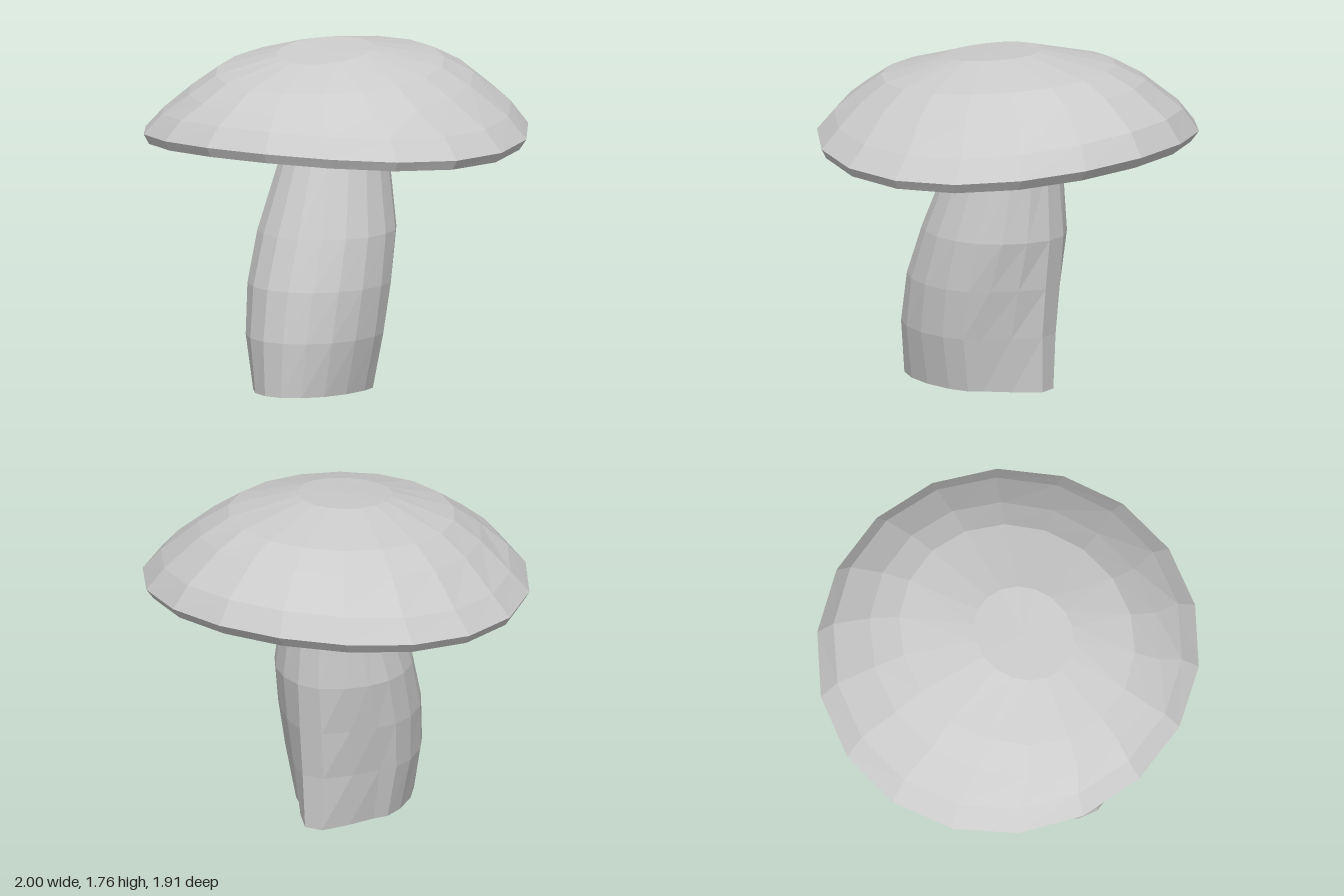
import * as THREE from 'three';

const SIDES = 18;

// One skewed oval ring: half width, z and y at front and back, y at the sides.
// pinch draws the rear flanks forward, leaving a narrow ridge behind.
function ring([halfX, zFront, zBack, yFront, ySide, yBack, pinch = 0]) {
  const points = [];
  const zMid = (zFront + zBack) / 2;
  const halfZ = (zFront - zBack) / 2 / Math.sin((80 * Math.PI) / 180);
  for (let i = 0; i < SIDES; i++) {
    const a = (i / SIDES) * Math.PI * 2;
    const s = Math.sin(a);
    const bend = (yFront + yBack) / 2 - ySide;
    const tilt = (yFront - yBack) / 2;
    const tuck = s < -0.01 ? pinch * Math.sin(Math.PI * s * s) : 0;
    points.push(halfX * Math.cos(a), ySide + bend * s * s + tilt * s, zMid + halfZ * s + tuck);
  }
  return points;
}

// Skin a stack of rings from bottom to top
function loft(name, profile, side) {
  const positions = profile.flatMap(ring);
  const index = [];
  for (let r = 0; r < profile.length - 1; r++) {
    for (let i = 0; i < SIDES; i++) {
      const j = (i + 1) % SIDES;
      const a = r * SIDES + i, b = r * SIDES + j;
      const c = a + SIDES, d = b + SIDES;
      index.push(a, c, b, b, c, d);
    }
  }
  const geometry = new THREE.BufferGeometry();
  geometry.setAttribute('position', new THREE.Float32BufferAttribute(positions, 3));
  geometry.setIndex(index);
  geometry.computeVertexNormals();
  const mesh = new THREE.Mesh(
    geometry,
    new THREE.MeshStandardMaterial({ color: 0xcccccc, flatShading: true, side })
  );
  mesh.name = name;
  return mesh;
}

export function createModel() {
  const group = new THREE.Group();
  group.name = 'mushroom';

  // Leaning stalk, open at the bottom
  group.add(loft('stalk', [
    [0.28, 0.60, -0.26, 0.01, 0.005, 0, 0.12],
    [0.34, 0.60, -0.265, 0.29, 0.29, 0.29, 0.1],
    [0.36, 0.555, -0.285, 0.55, 0.55, 0.55, 0.06],
    [0.35, 0.46, -0.305, 0.81, 0.81, 0.81, 0.02],
    [0.27, 0.305, -0.28, 1.185, 1.185, 1.185],
  ], THREE.DoubleSide));

  // Cap: underside, rim band, dome and tilted flat crown
  group.add(loft('cap', [
    [0.27, 0.305, -0.28, 1.185, 1.185, 1.185],
    [0.97, 0.93, -0.91, 1.29, 1.23, 1.31],
    [1.0, 0.955, -0.955, 1.34, 1.28, 1.37],
    [0.9, 0.875, -0.88, 1.44, 1.39, 1.49],
    [0.72, 0.79, -0.70, 1.51, 1.54, 1.63],
    [0.575, 0.665, -0.55, 1.60, 1.64, 1.70],
    [0.24, 0.36, -0.16, 1.70, 1.735, 1.76],
    [0, 0.1, 0.1, 1.735, 1.735, 1.735],
  ], THREE.FrontSide));

  return group;
}
